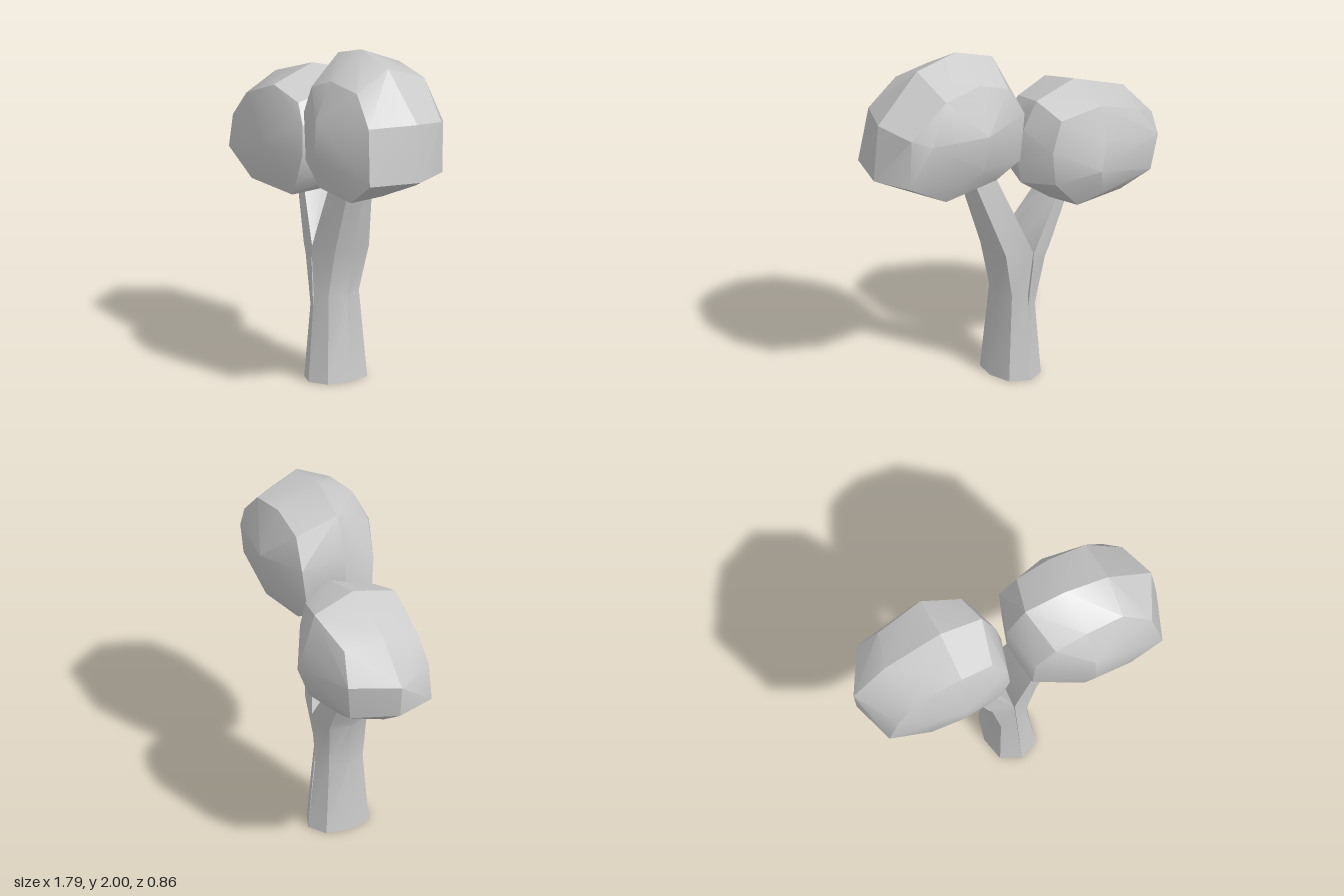
import * as THREE from 'three';
import { toCreasedNormals } from 'three/addons/utils/BufferGeometryUtils.js';
import { ConvexGeometry } from 'three/addons/geometries/ConvexGeometry.js';

const material = new THREE.MeshStandardMaterial({ color: 0xcccccc });

function addMesh(group, name, geometry, crease) {
  const mesh = new THREE.Mesh(toCreasedNormals(geometry, crease), material);
  mesh.name = name;
  group.add(mesh);
}

// Half of the trunk, running on into one branch.
// Levels: [y, inner x, outer x, back z, front z, bulge of the inner side]
function limb(levels, side) {
  const n = 6;
  const rings = levels.map(([y, xi, xo, zb, zf, bulge]) => {
    const mid = (zb + zf) / 2, half = (zf - zb) / 2, shoulder = xo - side * 0.03;
    const ring = [
      [xi, zf], [shoulder, mid + half * 0.72], [xo, mid],
      [shoulder, mid - half * 0.72], [xi, zb], [xi - side * bulge, mid],
    ].map(([x, z]) => new THREE.Vector3(x, y, z));
    return side > 0 ? ring : ring.reverse();
  });
  const points = [];
  for (let i = 0; i < rings.length - 1; i++) {
    for (let j = 0; j < n; j++) {
      const k = (j + 1) % n;
      const a = rings[i][j], b = rings[i][k], c = rings[i + 1][k], d = rings[i + 1][j];
      points.push(a, b, c, a, c, d);
    }
  }
  const top = rings[rings.length - 1], base = rings[0];
  for (let j = 1; j < n - 1; j++) {
    points.push(top[0], top[j], top[j + 1], base[0], base[j + 1], base[j]);
  }
  return new THREE.BufferGeometry().setFromPoints(points);
}

// Faceted crown wrapped around a few rings of [x, y, z] points
const crown = (...rings) =>
  new ConvexGeometry(rings.flat().map((p) => new THREE.Vector3(...p)));

export function createModel() {
  const tree = new THREE.Group();
  tree.name = 'tree';

  // Forked trunk
  addMesh(tree, 'leftTrunkAndBranch', limb([
    [0, 0, 0.14, -0.18, 0.2, 0],
    [0.5, -0.01, 0.1, -0.14, 0.155, 0],
    [0.77, -0.025, 0.16, -0.17, 0.16, 0],
    [1.25, 0.16, 0.32, -0.06, 0.15, 0.01],
    [1.4, 0.21, 0.36, -0.03, 0.14, 0.01],
  ], 1), 0.5);
  addMesh(tree, 'rightTrunkAndBranch', limb([
    [0, 0, -0.14, -0.18, 0.2, 0],
    [0.42, -0.01, -0.12, -0.14, 0.16, 0],
    [0.7, -0.025, -0.17, -0.17, 0.16, 0],
    [0.76, -0.03, -0.2, -0.17, 0.15, 0.01],
    [1.05, -0.21, -0.34, -0.14, 0.07, 0.02],
    [1.2, -0.29, -0.41, -0.13, 0.03, 0.02],
  ], -1), 0.5);

  // Higher crown: front, front rim, middle, back rim, back
  addMesh(tree, 'leftCrown', crown(
    [[0.35, 1.43, 0.425], [0.35, 1.65, 0.415]],
    [[0.04, 1.31, 0.25], [0.05, 1.6, 0.27], [0.16, 1.78, 0.3], [0.35, 1.86, 0.31], [0.58, 1.84, 0.3],
      [0.74, 1.68, 0.34], [0.79, 1.36, 0.37], [0.6, 1.22, 0.36], [0.31, 1.24, 0.36]],
    [[-0.02, 1.49, 0.05], [-0.02, 1.7, 0.05], [0.09, 1.92, 0.06], [0.33, 2, 0.08], [0.59, 1.95, 0.09],
      [0.86, 1.69, 0.09], [0.89, 1.36, 0.09], [0.55, 1.2, 0.1], [0.16, 1.25, 0.05]],
    [[0.05, 1.35, -0.15], [0.05, 1.65, -0.19], [0.15, 1.82, -0.17], [0.35, 1.89, -0.17], [0.58, 1.85, -0.17],
      [0.79, 1.65, -0.13], [0.8, 1.36, -0.13], [0.55, 1.22, -0.13], [0.2, 1.26, -0.13]],
    [[0.36, 1.62, -0.28], [0.7, 1.62, -0.21], [0.36, 1.4, -0.24]],
  ), 0.5);

  // Lower crown, set further back
  addMesh(tree, 'rightCrown', crown(
    [[-0.37, 1.32, 0.25], [-0.37, 1.2, 0.24]],
    [[-0.36, 1.64, 0.17], [-0.16, 1.58, 0.15], [-0.08, 1.47, 0.18], [-0.07, 1.3, 0.19], [-0.12, 1.15, 0.19],
      [-0.19, 1.04, 0.17], [-0.55, 1.05, 0.18], [-0.8, 1.17, 0.15], [-0.75, 1.37, 0.16], [-0.64, 1.52, 0.15]],
    [[-0.36, 1.72, -0.1], [-0.1, 1.65, -0.1], [-0.03, 1.48, -0.07], [0, 1.3, -0.06], [-0.02, 1.16, -0.06],
      [-0.19, 1.04, -0.1], [-0.7, 1.06, -0.1], [-0.88, 1.18, -0.1], [-0.9, 1.37, -0.1], [-0.7, 1.59, -0.1]],
    [[-0.36, 1.64, -0.35], [-0.14, 1.58, -0.28], [-0.08, 1.4, -0.28], [-0.1, 1.2, -0.28], [-0.25, 1.04, -0.28],
      [-0.55, 1.06, -0.28], [-0.72, 1.15, -0.33], [-0.75, 1.37, -0.36], [-0.64, 1.54, -0.32]],
    [[-0.31, 1.28, -0.43], [-0.36, 1.45, -0.41], [-0.35, 1.12, -0.38]],
  ), 0.5);

  return tree;
}
